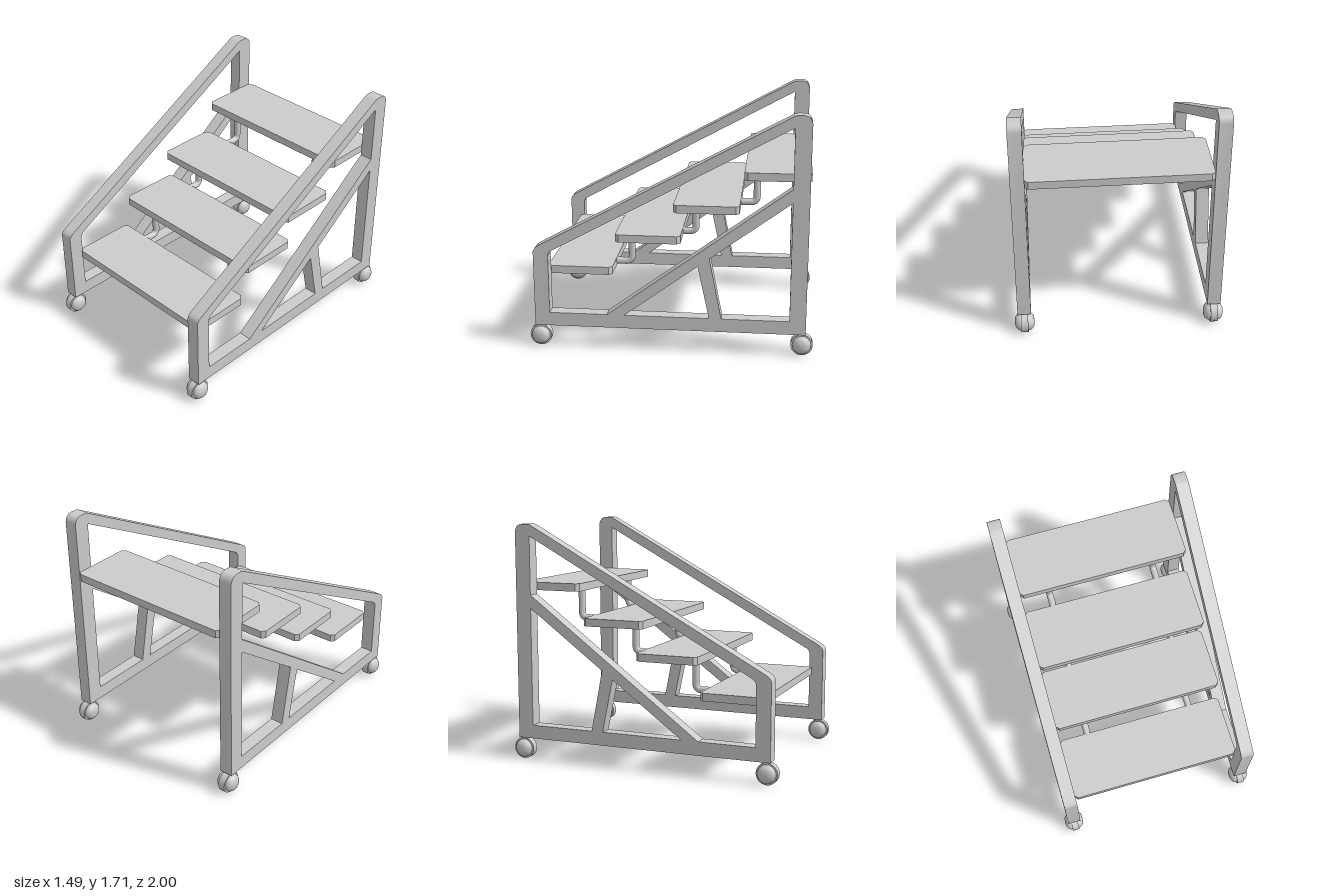
import * as THREE from 'three';
import { toCreasedNormals } from 'three/addons/utils/BufferGeometryUtils.js';

const material = new THREE.MeshStandardMaterial({ color: 0xcccccc });

function addMesh(parent, name, geometry) {
  const mesh = new THREE.Mesh(toCreasedNormals(geometry, 0.6), material);
  mesh.name = name;
  parent.add(mesh);
  return mesh;
}

const points = (list) => list.map(([z, y]) => new THREE.Vector2(z, y));

// Side frame: outline in (z, y) with the gaps between its bars cut out
function sideFrameGeometry(width) {
  const shape = new THREE.Shape();
  shape.moveTo(0.955, 0.16);
  shape.lineTo(0.955, 0.70);
  shape.quadraticCurveTo(0.955, 0.73, 0.912, 0.753);
  shape.lineTo(-0.82, 1.695);
  shape.quadraticCurveTo(-0.838, 1.705, -0.86, 1.705);
  shape.lineTo(-0.895, 1.705);
  shape.quadraticCurveTo(-0.94, 1.7, -0.948, 1.65);
  shape.lineTo(-0.948, 0.16);
  shape.closePath();

  // Opening under the handrail
  const upper = new THREE.Path();
  upper.moveTo(0.85, 0.257);
  upper.lineTo(0.442, 0.257);
  upper.lineTo(-0.834, 1.203);
  upper.lineTo(-0.834, 1.62);
  upper.lineTo(0.82, 0.72);
  upper.quadraticCurveTo(0.85, 0.704, 0.85, 0.67);
  upper.closePath();
  // Openings in front of and behind the short strut
  const front = new THREE.Path(points([[0.319, 0.257], [-0.276, 0.257], [-0.196, 0.637]]));
  const rear = new THREE.Path(points([[-0.362, 0.257], [-0.834, 0.257], [-0.834, 1.107], [-0.276, 0.696]]));
  shape.holes.push(upper, front, rear);

  const geometry = new THREE.ExtrudeGeometry(shape, { depth: width, bevelEnabled: false, curveSegments: 6 });
  return geometry.translate(0, 0, -width / 2).rotateY(-Math.PI / 2);
}

// Tread: flat board with chamfered corners
function treadGeometry(halfWidth, depth, thickness) {
  const w = halfWidth, d = depth / 2, c = 0.024;
  const shape = new THREE.Shape(points([
    [-w + c, -d], [w - c, -d], [w, -d + c], [w, d - c],
    [w - c, d], [-w + c, d], [-w, d - c], [-w, -d + c],
  ]));
  return new THREE.ExtrudeGeometry(shape, { depth: thickness, bevelEnabled: false })
    .rotateX(-Math.PI / 2).translate(0, -thickness / 2, 0);
}

// Bent tube: runs back from one tread, then up to the next
function bracketGeometry(zStart, zPost, yStart, yTop) {
  const v = (z, y) => new THREE.Vector3(0, y, z);
  const bend = 0.045;
  const path = new THREE.CurvePath();
  path.add(new THREE.LineCurve3(v(zStart, yStart), v(zPost + bend, yStart)));
  path.add(new THREE.QuadraticBezierCurve3(v(zPost + bend, yStart), v(zPost, yStart), v(zPost, yStart + bend)));
  path.add(new THREE.LineCurve3(v(zPost, yStart + bend), v(zPost, yTop)));
  return new THREE.TubeGeometry(path, 40, 0.025, 16);
}

// Caster: thin wheel with a domed cover on each side
function casterGeometry() {
  const half = [[0.077, 0.025], [0.065, 0.025], [0.064, 0.036], [0.057, 0.049], [0.045, 0.06], [0.03, 0.067], [0, 0.069]];
  const profile = [...half.map(([r, a]) => [r, -a]).reverse(), ...half];
  return new THREE.LatheGeometry(points(profile), 24).rotateZ(-Math.PI / 2);
}

export function createModel() {
  const model = new THREE.Group();
  model.name = 'rollingSteps';

  for (const [side, x] of [['left', 0.671], ['right', -0.676]]) {
    addMesh(model, `${side}SideFrame`, sideFrameGeometry(0.095)).position.x = x;
    for (const [end, z] of [['Front', 0.923], ['Rear', -0.923]]) {
      addMesh(model, `${side}${end}Caster`, casterGeometry()).position.set(x, 0.077, z);
    }
  }

  // Treads from bottom to top: front edge, centre height
  const thickness = 0.056, depth = 0.458;
  const treads = [[0.873, 0.547], [0.393, 0.789], [-0.015, 1.015], [-0.502, 1.258]];
  treads.forEach(([z, y], i) => {
    addMesh(model, `tread${i + 1}`, treadGeometry(0.627, depth, thickness)).position.set(-0.002, y, z - depth / 2);
  });

  // Pairs of brackets linking each tread to the next
  [0.305, -0.157, -0.585].forEach((zPost, i) => {
    const [z, y] = treads[i];
    const top = treads[i + 1][1] - thickness / 2 + 0.01;
    for (const [side, x] of [['left', 0.394], ['right', -0.408]]) {
      addMesh(model, `${side}Bracket${i + 1}`, bracketGeometry(z - depth + 0.02, zPost, y + 0.003, top)).position.x = x;
    }
  });

  return model;
}
